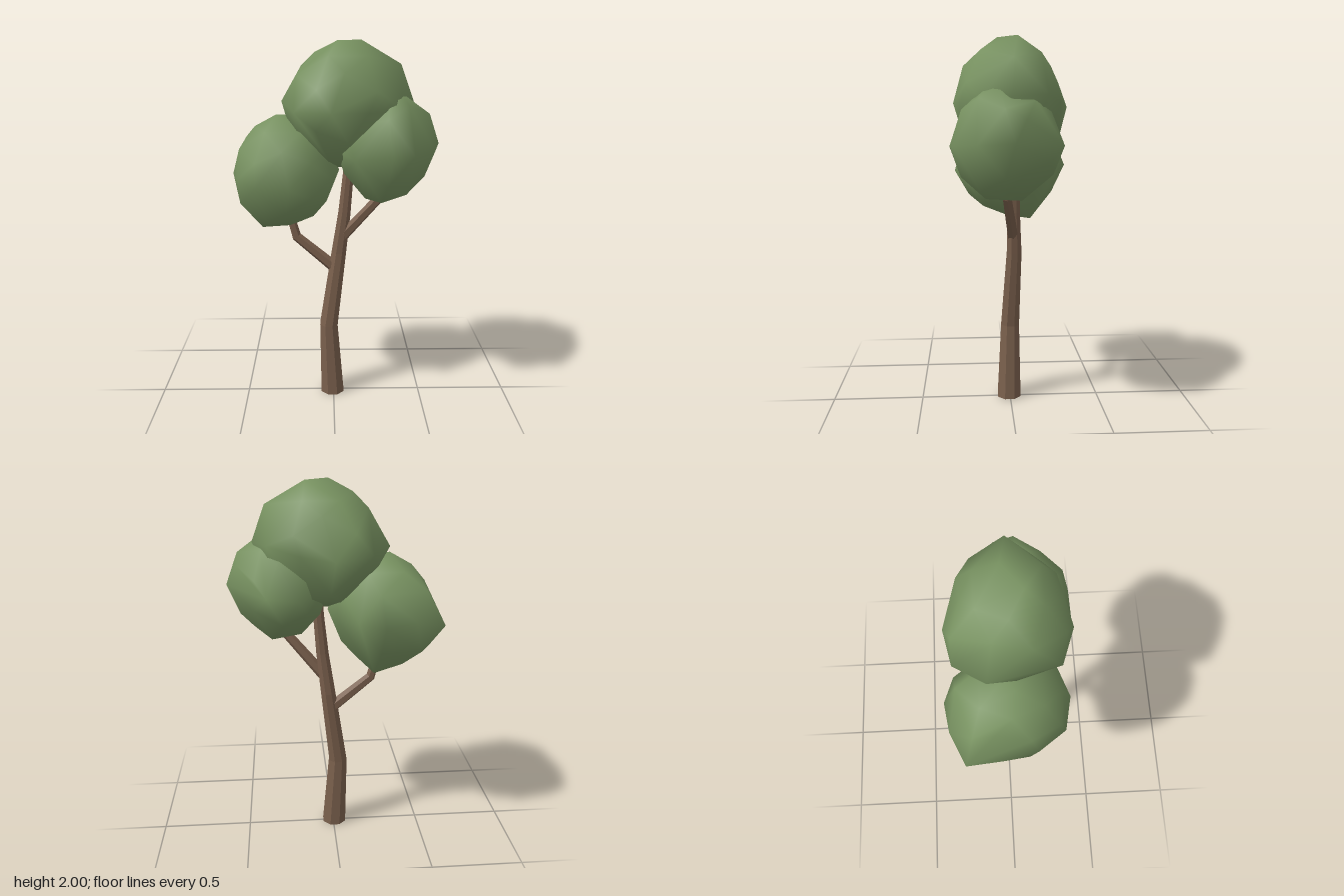
import * as THREE from 'three';
import { mergeVertices } from 'three/addons/utils/BufferGeometryUtils.js';
import { ConvexGeometry } from 'three/addons/geometries/ConvexGeometry.js';

const bark = new THREE.MeshStandardMaterial({ color: 0x795f4c });
bark.name = 'bark brown';
const leaf = new THREE.MeshStandardMaterial({ color: 0x779160 });
leaf.name = 'leaf green';

// Faceted limb: rings [x, y, z, radius] joined by flat sides, closed at both ends
function limb(name, rings, sides) {
  const centres = rings.map(r => new THREE.Vector3(r[0], r[1], r[2]));
  const up = new THREE.Vector3(0, 1, 0);
  const pos = [], index = [];
  rings.forEach((r, i) => {
    const dir = centres[Math.min(i + 1, rings.length - 1)].clone()
      .sub(centres[Math.max(i - 1, 0)]).normalize();
    if (i === 0 && r[1] === 0) dir.copy(up); // the foot sits flat on the ground
    const turn = new THREE.Quaternion().setFromUnitVectors(up, dir);
    for (let s = 0; s < sides; s++) {
      const a = (s + 0.5) / sides * Math.PI * 2;
      const p = new THREE.Vector3(Math.sin(a) * r[3], 0, Math.cos(a) * r[3])
        .applyQuaternion(turn).add(centres[i]);
      pos.push(p.x, p.y, p.z);
    }
  });
  const last = (rings.length - 1) * sides;
  for (let s = 0; s < sides; s++) {
    const t = (s + 1) % sides;
    for (let i = 0; i < last; i += sides) {
      index.push(i + s, i + t, i + sides + t, i + s, i + sides + t, i + sides + s);
    }
    if (s > 0 && s < sides - 1) {
      index.push(0, t, s);
      index.push(last, last + s, last + t);
    }
  }
  const geo = new THREE.BufferGeometry();
  geo.setAttribute('position', new THREE.Float32BufferAttribute(pos, 3));
  geo.setIndex(index);
  const flat = geo.toNonIndexed();
  flat.computeVertexNormals();
  const mesh = new THREE.Mesh(flat, bark);
  mesh.name = name;
  return mesh;
}

// Leafy clump: a lumpy hull through its main corners; the gaps between them are
// filled with ball points whose radius is blended from the nearby corners
function clump(name, centre, corners) {
  const mid = new THREE.Vector3(...centre);
  const arms = corners.map(c => new THREE.Vector3(...c).sub(mid));
  const dirs = arms.map(a => a.clone().normalize());
  const points = arms.slice();
  const ball = mergeVertices(new THREE.IcosahedronGeometry(1, 1).deleteAttribute('normal')
    .deleteAttribute('uv'), 1e-3).attributes.position;
  for (let i = 0; i < ball.count; i++) {
    const v = new THREE.Vector3().fromBufferAttribute(ball, i);
    if (dirs.some(d => d.angleTo(v) < 0.36)) continue;
    let sum = 0, total = 0;
    dirs.forEach((d, k) => {
      const w = d.angleTo(v) ** -3;
      sum += w * arms[k].length();
      total += w;
    });
    points.push(v.multiplyScalar(0.965 * sum / total));
  }
  const hull = new ConvexGeometry(points);
  hull.deleteAttribute('normal');
  const geo = mergeVertices(hull, 1e-4);
  geo.computeVertexNormals();
  const mesh = new THREE.Mesh(geo, leaf);
  mesh.name = name;
  mesh.position.copy(mid);
  return mesh;
}

export function createModel() {
  const tree = new THREE.Group();
  tree.name = 'tree';

  // Trunk and its two side branches
  tree.add(limb('trunk', [
    [-0.006, 0, 0.005, 0.07],
    [-0.027, 0.42, -0.002, 0.054],
    [0.03, 0.85, -0.021, 0.043],
    [0.06, 1.08, -0.016, 0.036],
    [0.08, 1.3, -0.015, 0.031],
    [0.085, 1.5, -0.01, 0.022],
  ], 8));
  tree.add(limb('rightBranch', [
    [0.02, 0.75, -0.02, 0.034],
    [-0.205, 0.94, -0.03, 0.027],
    [-0.235, 1.05, -0.03, 0.022],
    [-0.25, 1.2, -0.02, 0.016],
  ], 6));
  tree.add(limb('leftBranch', [
    [0.04, 0.935, -0.015, 0.032],
    [0.25, 1.18, 0.03, 0.026],
    [0.3, 1.3, 0.04, 0.018],
  ], 6));

  // Three leafy clumps
  tree.add(clump('topFoliage', [0.07, 1.67, 0], [
    [0.02, 2, 0.07], [0.145, 2, -0.03],
    [-0.17, 1.87, -0.08], [0.35, 1.88, 0], [0.05, 1.85, 0.25], [0.07, 1.85, -0.21],
    [-0.28, 1.68, -0.11], [-0.18, 1.66, -0.265], [0.01, 1.64, -0.305], [0.18, 1.66, -0.25],
    [0.345, 1.7, -0.17], [0.42, 1.69, 0.01], [0.17, 1.66, 0.265], [-0.015, 1.66, 0.305],
    [-0.2, 1.66, 0.24], [-0.25, 1.62, 0.03],
    [-0.16, 1.45, 0], [0.03, 1.47, -0.26], [-0.03, 1.34, 0], [0.05, 1.34, 0],
  ]));
  tree.add(clump('rightFoliage', [-0.26, 1.31, 0], [
    [-0.3, 1.625, 0.02], [-0.22, 1.62, -0.02],
    [-0.47, 1.495, -0.08], [-0.22, 1.465, -0.265], [-0.47, 1.46, -0.19],
    [-0.56, 1.29, -0.23], [-0.4, 1.33, -0.305], [-0.24, 1.31, -0.33], [-0.11, 1.32, -0.28],
    [-0.545, 1.3, -0.04], [-0.505, 1.3, 0.13], [-0.4, 1.28, 0.27], [-0.225, 1.28, 0.305],
    [0.03, 1.325, 0],
    [-0.51, 1.13, -0.08], [-0.45, 1.14, -0.2], [-0.04, 1.155, -0.03],
    [-0.25, 1.14, 0.225], [-0.23, 1.155, -0.255],
    [-0.39, 1.005, 0], [-0.21, 1, -0.13], [-0.24, 1.015, 0],
  ]));
  tree.add(clump('leftFoliage', [0.29, 1.45, 0.03], [
    [0.34, 1.745, 0.075], [0.28, 1.735, 0.14],
    [0.5, 1.63, 0.05], [0.27, 1.625, 0.26], [0.29, 1.615, -0.19],
    [0.56, 1.47, 0.005], [0.515, 1.46, 0.185], [0.4, 1.45, 0.3], [0.1, 1.435, 0.325],
    [0.02, 1.42, 0.05], [0.19, 1.44, -0.27], [0.35, 1.45, -0.25], [0.445, 1.46, -0.12],
    [0.485, 1.3, 0.05], [0.055, 1.315, 0.05], [0.27, 1.29, 0.265], [0.27, 1.3, -0.205],
    [0.33, 1.175, -0.04], [0.17, 1.175, 0.04], [0.25, 1.175, 0.14],
  ]));
  return tree;
}
